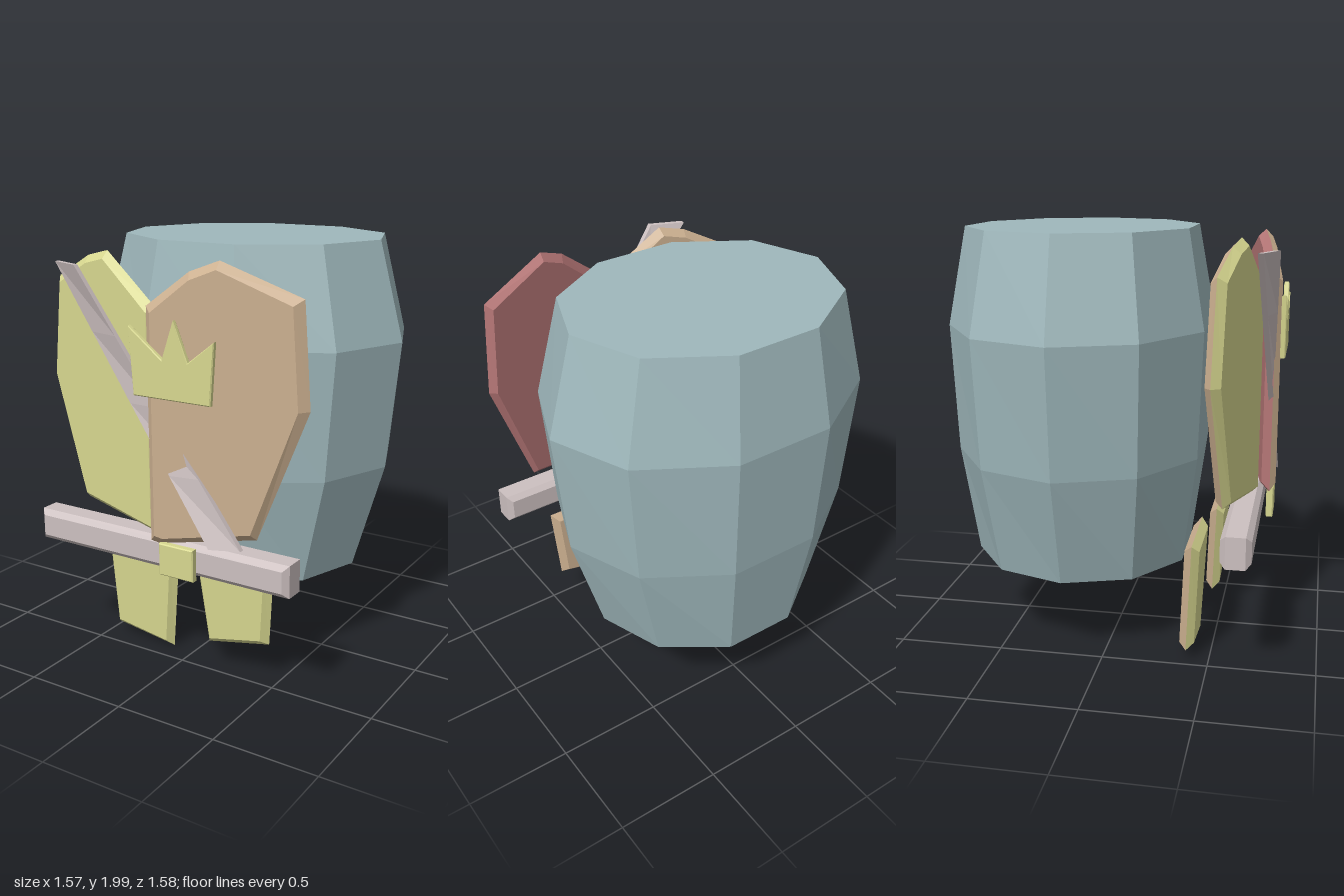
import * as THREE from 'three';

const BLUE = 0x9fb8bc, GREY = 0xccc0c0, OLIVE = 0xd8d890, TAN = 0xccb090, RED = 0xb87878;

const mat = (color) => new THREE.MeshStandardMaterial({ color, flatShading: true });

function addMesh(parent, name, geometry, color) {
  const mesh = new THREE.Mesh(geometry, mat(color));
  mesh.name = name;
  parent.add(mesh);
  return mesh;
}

// Non-indexed geometry from a list of triangle corners
function fromCorners(corners) {
  const g = new THREE.BufferGeometry().setFromPoints(corners);
  g.computeVertexNormals();
  return g;
}

// One bevelled half of a convex slab: flat face plus rim running to the ridge.
// The outline runs counter-clockwise seen from the front; depth(x, y) is its plane.
function halfSlab(outline, depth, h, inset, side) {
  const xs = outline.map((p) => p[0]), ys = outline.map((p) => p[1]);
  const x0 = Math.min(...xs), x1 = Math.max(...xs), y0 = Math.min(...ys), y1 = Math.max(...ys);
  const cx = (x0 + x1) / 2, cy = (y0 + y1) / 2;
  const sx = 1 - (2 * inset) / (x1 - x0), sy = 1 - (2 * inset) / (y1 - y0);
  const ridge = outline.map(([x, y]) => new THREE.Vector3(x, y, depth(x, y)));
  const face = outline.map(([x, y]) => {
    const fx = cx + (x - cx) * sx, fy = cy + (y - cy) * sy;
    return new THREE.Vector3(fx, fy, depth(fx, fy) + side * h);
  });
  const corners = [];
  const tri = (a, b, c) => (side > 0 ? corners.push(a, b, c) : corners.push(a, c, b));
  const n = outline.length;
  for (let i = 0; i < n; i++) {
    const j = (i + 1) % n;
    tri(ridge[i], ridge[j], face[j]);
    tri(ridge[i], face[j], face[i]);
    if (i > 0 && i < n - 1) tri(face[0], face[i], face[j]);
  }
  return fromCorners(corners);
}

function slab(name, outline, depth, frontColor, backColor) {
  const group = new THREE.Group();
  group.name = name;
  addMesh(group, name + 'Front', halfSlab(outline, depth, 0.035, 0.035, 1), frontColor);
  addMesh(group, name + 'Back', halfSlab(outline, depth, 0.035, 0.035, -1), backColor);
  return group;
}

// Flat plate with a small chamfer; the outline gives its outer size
function plate(outline, z0, z1, bevel) {
  const shape = new THREE.Shape(outline.map(([x, y]) => new THREE.Vector2(x, y)));
  const g = new THREE.ExtrudeGeometry(shape, {
    depth: z1 - z0 - 2 * bevel, bevelEnabled: true, bevelSegments: 1,
    bevelSize: bevel, bevelOffset: -bevel, bevelThickness: bevel,
  });
  return g.translate(0, 0, z0 + bevel);
}

const rect = (x0, x1, y0, y1) => [[x0, y0], [x1, y0], [x1, y1], [x0, y1]];

// Ten-sided oval barrel: each ring is [y, half width, half depth]
function barrelGeometry() {
  const rings = [[0.4, 0.57, 0.54], [0.93, 0.725, 0.615], [1.54, 0.785, 0.64], [2, 0.66, 0.555]];
  const profile = rings.map(([y, r]) => new THREE.Vector2(r, y));
  profile.unshift(new THREE.Vector2(0, 0.4));
  profile.push(new THREE.Vector2(0, 2));
  const g = new THREE.LatheGeometry(profile, 10, Math.PI / 2);
  const p = g.attributes.position;
  for (let i = 0; i < p.count; i++) {
    const ring = rings.find((r) => Math.abs(r[0] - p.getY(i)) < 0.01);
    p.setZ(i, (p.getZ(i) * ring[2]) / ring[1] - 0.18);
  }
  g.computeVertexNormals();
  return g;
}

// Diagonal band that twists gently from one end to the other
function sashGeometry() {
  const leftA = new THREE.Vector3(-0.51, 1.92, 0.7), leftB = new THREE.Vector3(0.33, 0.75, 0.765);
  const rightA = new THREE.Vector3(-0.35, 1.92, 0.765), rightB = new THREE.Vector3(0.46, 0.75, 0.715);
  const steps = 4, back = new THREE.Vector3(0, 0, -0.025);
  const corners = [];
  const quad = (a, b, c, d) => corners.push(a, b, c, a, c, d);
  const loop = (t) => {
    const l = leftA.clone().lerp(leftB, t), r = rightA.clone().lerp(rightB, t);
    return [l, r, r.clone().add(back), l.clone().add(back)];
  };
  for (let i = 0; i < steps; i++) {
    const a = loop(i / steps), b = loop((i + 1) / steps);
    for (let k = 0; k < 4; k++) {
      const m = (k + 1) % 4;
      quad(a[k], b[k], b[m], a[m]);
    }
  }
  const s = loop(0), e = loop(1);
  quad(s[0], s[1], s[2], s[3]);
  quad(e[3], e[2], e[1], e[0]);
  return fromCorners(corners);
}

export function createModel() {
  const model = new THREE.Group();
  model.name = 'barrelWithCoat';

  addMesh(model, 'barrel', barrelGeometry(), BLUE);

  // Two coat panels meeting at the middle
  model.add(slab('rightCoatPanel',
    [[0, 0.72], [0, 1.75], [-0.3, 1.97], [-0.43, 1.94], [-0.64, 1.83], [-0.7, 1.37], [-0.49, 0.78]],
    (x) => 0.655 + 0.21 * x, OLIVE, TAN));
  model.add(slab('leftCoatPanel',
    [[0.01, 0.72], [0.05, 0.71], [0.49, 0.78], [0.71, 1.37], [0.68, 1.83], [0.33, 1.97], [0.2, 1.92], [0.01, 1.77]],
    (x) => 0.74 - 0.235 * x, TAN, RED));

  // Short trouser legs
  model.add(slab('rightLeg',
    [[-0.46, 0.06], [-0.12, 0.01], [-0.06, 0.59], [-0.49, 0.59]],
    (x, y) => 0.39 + 0.045 * y, OLIVE, TAN));
  model.add(slab('leftLeg',
    [[0.13, 0.13], [0.46, 0.2], [0.49, 0.59], [0.07, 0.59]],
    (x, y) => 0.448 + 0.045 * y, OLIVE, TAN));

  // Belt, buckle, sash and crown badge
  addMesh(model, 'belt', plate(rect(-0.68, 0.68, 0.57, 0.72), 0.56, 0.7, 0.025), GREY);
  addMesh(model, 'buckle', plate(rect(0.06, 0.24, 0.57, 0.72), 0.72, 0.755, 0.005), OLIVE);
  addMesh(model, 'sash', sashGeometry(), GREY);
  addMesh(model, 'crownBadge', plate(
    [[-0.03, 1.39], [0.36, 1.39], [0.38, 1.66], [0.25, 1.56], [0.18, 1.73], [0.12, 1.56], [-0.05, 1.69]],
    0.765, 0.79, 0.005), OLIVE);

  return model;
}
